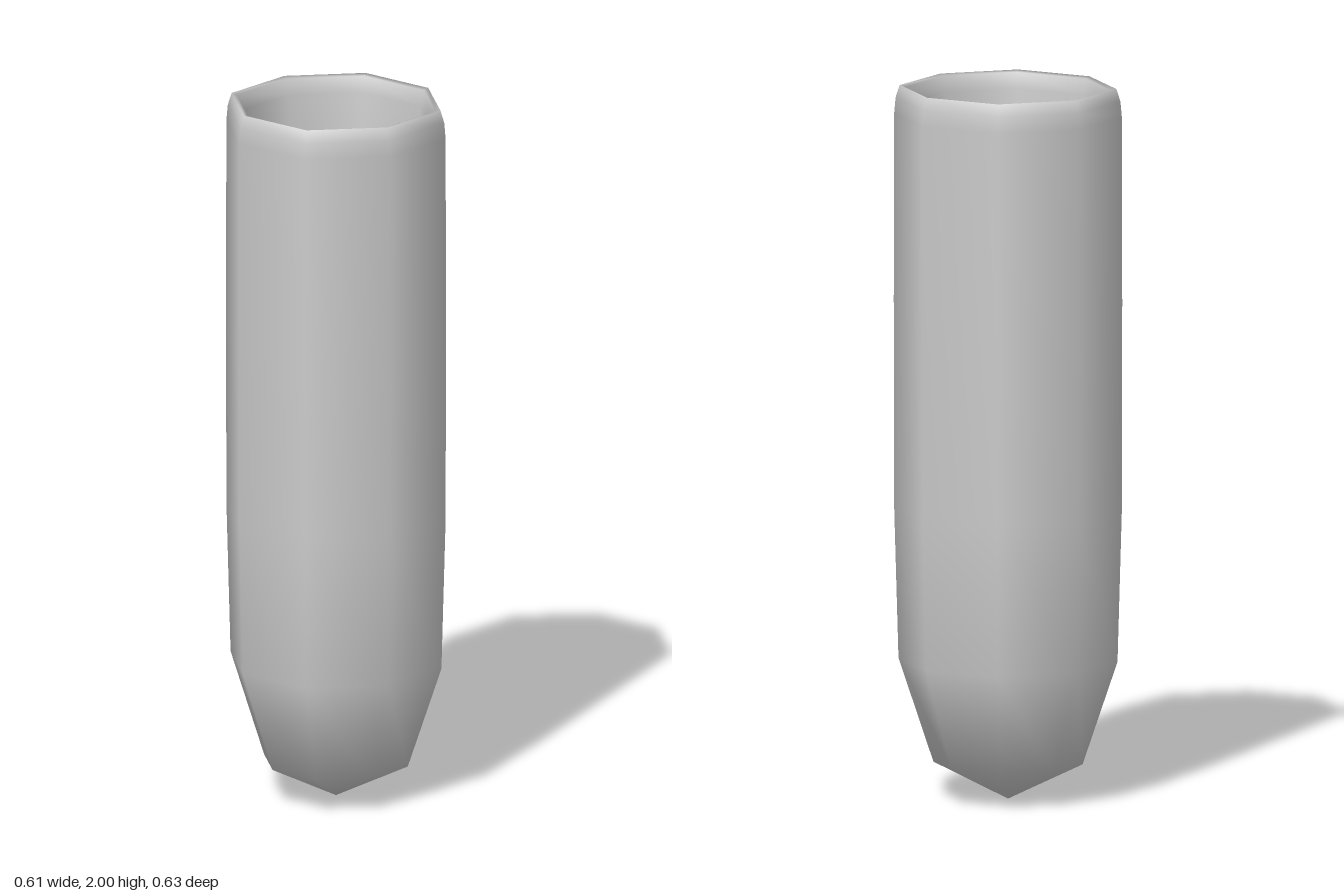
import * as THREE from 'three';

const SIDES = 8;
const material = new THREE.MeshStandardMaterial({ color: 0xcccccc, side: THREE.DoubleSide });

// Eight-sided smooth lathe, slightly narrower in x, with fuller diagonal corners
function turned(name, profile) {
  const geometry = new THREE.LatheGeometry(profile.map(([r, y]) => new THREE.Vector2(r, y)), SIDES);
  const pos = geometry.attributes.position;
  for (let i = 0; i < pos.count; i++) {
    const column = Math.floor(i / profile.length);
    const k = column % 2 ? 1.027 : 1;
    pos.setX(i, pos.getX(i) * k * 0.978);
    pos.setZ(i, pos.getZ(i) * k);
  }
  const mesh = new THREE.Mesh(geometry, material);
  mesh.name = name;
  return mesh;
}

export function createModel() {
  const group = new THREE.Group();
  group.name = 'hollowCapsule';

  // Pointed base, tapered body, rounded rim and inner wall
  group.add(turned('shell', [
    [0, 0], [0.205, 0.1], [0.301, 0.39], [0.313, 0.82], [0.314, 1.4], [0.313, 1.92],
    [0.309, 1.965], [0.298, 2], [0.284, 1.995], [0.274, 1.95], [0.266, 1.83],
  ]));

  // Recessed floor with a small step around its edge
  group.add(turned('recessedFloor', [
    [0, 1.805], [0.252, 1.805], [0.266, 1.83],
  ].reverse()));

  return group;
}
